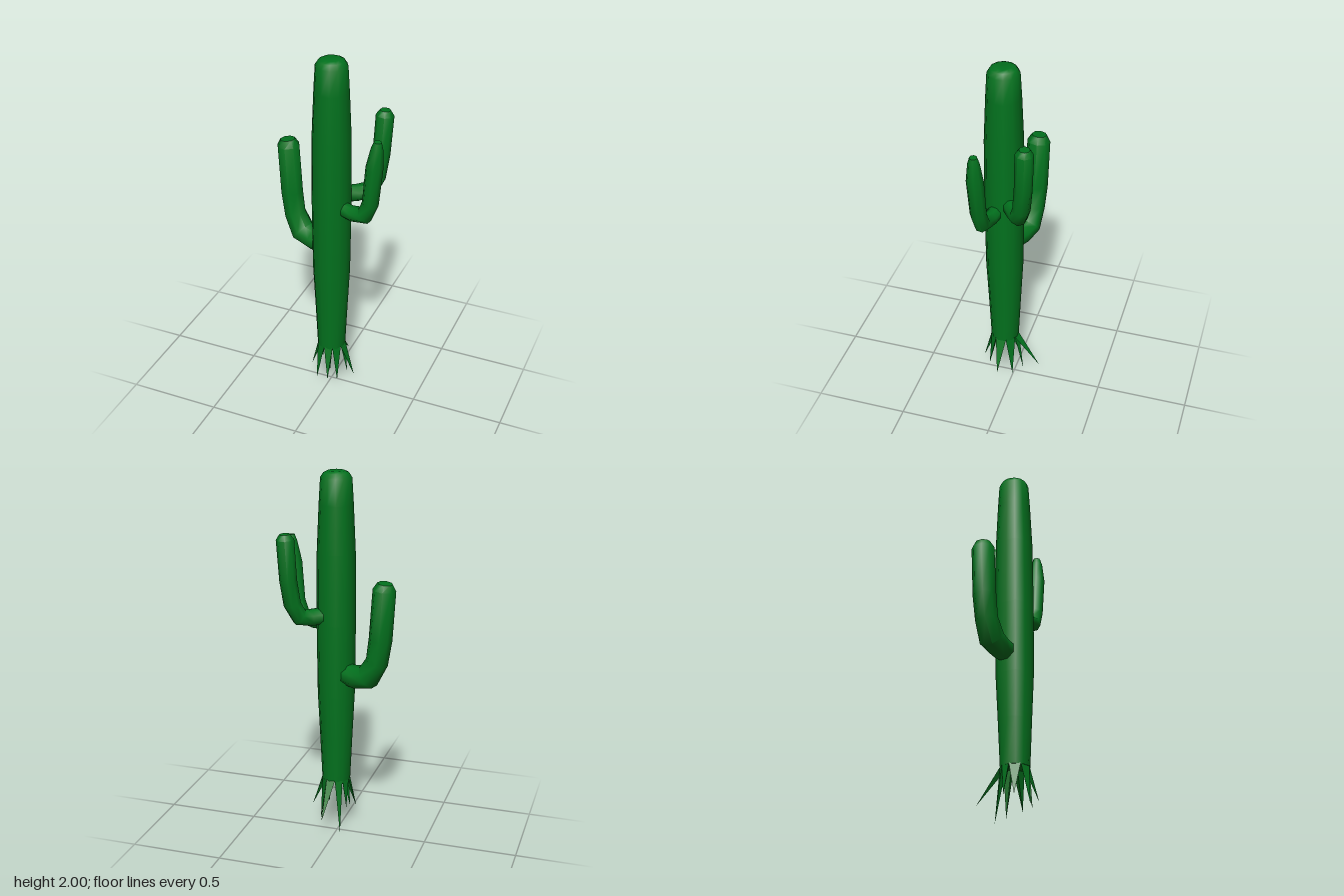
import * as THREE from 'three';
import { toCreasedNormals } from 'three/addons/utils/BufferGeometryUtils.js';

const material = new THREE.MeshStandardMaterial({ color: 0x02721e });
const CX = 0.02, CZ = 0.048; // trunk axis

// Skin a list of rings (arrays of Vector3, counter-clockwise about the travel direction), closing both ends
function loft(rings) {
  const n = rings[0].length, pos = [], index = [];
  rings.forEach(r => r.forEach(p => pos.push(p.x, p.y, p.z)));
  for (let i = 0; i < rings.length - 1; i++) {
    for (let j = 0; j < n; j++) {
      const a = i * n + j, b = i * n + (j + 1) % n;
      index.push(a, b, b + n, a, b + n, a + n);
    }
  }
  const last = (rings.length - 1) * n;
  for (let j = 1; j < n - 1; j++) {
    index.push(0, j + 1, j, last, last + j, last + j + 1);
  }
  const geo = new THREE.BufferGeometry();
  geo.setAttribute('position', new THREE.Float32BufferAttribute(pos, 3));
  geo.setIndex(index);
  return toCreasedNormals(geo, 0.9);
}

function add(group, name, geometry) {
  const mesh = new THREE.Mesh(geometry, material);
  mesh.name = name;
  group.add(mesh);
}

// Twelve-sided trunk, with shallow grooves between broad ribs
function trunkGeometry() {
  const profile = [ // height, radius, groove depth
    [0.3, 0.077, 1], [0.55, 0.088, 0.98], [0.8, 0.1, 0.93], [1.2, 0.104, 0.91],
    [1.58, 0.101, 0.91], [1.83, 0.09, 0.94], [1.965, 0.082, 1], [1.99, 0.066, 1], [2, 0.045, 1],
  ];
  return loft(profile.map(([y, r, groove]) => Array.from({ length: 12 }, (_, j) => {
    const a = -(j + 0.5) / 12 * Math.PI * 2;
    const k = j % 3 === 2 ? groove : 1;
    return new THREE.Vector3(CX + Math.cos(a) * r * k, y, CZ + Math.sin(a) * r * k);
  })));
}

// Arm: points are [x, y, z, radius]; it bends within one vertical plane
function armGeometry(points, sides = 8) {
  const v = points.map(p => new THREE.Vector3(p[0], p[1], p[2]));
  const side = v[v.length - 1].clone().sub(v[0]).setY(0).normalize().cross(new THREE.Vector3(0, 1, 0));
  return loft(v.map((c, i) => {
    const t = v[Math.min(i + 1, v.length - 1)].clone().sub(v[Math.max(i - 1, 0)]).normalize();
    const up = t.clone().cross(side).normalize();
    return Array.from({ length: sides }, (_, j) => {
      const a = (j + 0.5) / sides * Math.PI * 2, r = points[i][3];
      return c.clone().addScaledVector(side, Math.cos(a) * r).addScaledVector(up, Math.sin(a) * r);
    });
  }));
}

// Root: a three-sided spike hanging from the trunk's lower rim, between two angles
function rootGeometry(tip, from, to) {
  const rim = (angle, r, h) => new THREE.Vector3(CX + Math.cos(angle) * r, h, CZ + Math.sin(angle) * r);
  const corners = [
    rim(from, 0.077, 0.305), rim(to, 0.077, 0.305), rim((from + to) / 2, 0.045, 0.301),
    new THREE.Vector3(...tip),
  ];
  const faces = [[0, 2, 1], [0, 1, 3], [1, 2, 3], [2, 0, 3]];
  const geo = new THREE.BufferGeometry().setFromPoints(faces.flatMap(f => f.map(i => corners[i])));
  geo.computeVertexNormals();
  return geo;
}

export function createModel() {
  const cactus = new THREE.Group();
  cactus.name = 'cactus';
  add(cactus, 'trunk', trunkGeometry());

  add(cactus, 'rightArm', armGeometry([
    [-0.02, 0.925, 0.024, 0.055], [-0.1, 0.92, -0.001, 0.063], [-0.178, 0.937, -0.026, 0.068],
    [-0.23, 1.03, -0.042, 0.06], [-0.25, 1.16, -0.049, 0.062],
    [-0.268, 1.425, -0.054, 0.061], [-0.272, 1.46, -0.055, 0.04],
  ]));
  add(cactus, 'backLeftArm', armGeometry([
    [0.05, 1.243, 0.025, 0.043], [0.13, 1.238, -0.037, 0.045], [0.18, 1.248, -0.076, 0.048],
    [0.212, 1.32, -0.1, 0.046], [0.228, 1.45, -0.113, 0.046],
    [0.239, 1.665, -0.121, 0.047], [0.24, 1.693, -0.122, 0.028],
  ]));
  add(cactus, 'frontLeftArm', armGeometry([
    [0.06, 1.193, 0.063, 0.039], [0.15, 1.183, 0.085, 0.042], [0.226, 1.2, 0.103, 0.046],
    [0.258, 1.28, 0.111, 0.043], [0.278, 1.49, 0.118, 0.045],
    [0.29, 1.6, 0.118, 0.031], [0.293, 1.637, 0.118, 0.02],
  ]));

  // Roots in order around the rim, each sharing its base corners with its neighbours
  const tips = [
    [0.16, 0.11, 0.055], [0.085, 0.1, 0.122], [0.045, 0.12, 0.165], [-0.032, 0.09, 0.137],
    [-0.09, 0.13, 0.067], [-0.052, 0.14, 0.003], [-0.03, 0, -0.045], [0.04, 0.12, -0.16],
    [0.09, 0.06, -0.015],
  ];
  const angleOf = i => {
    const [x, , z] = tips[(i + tips.length) % tips.length];
    const a = Math.atan2(z - CZ, x - CX);
    const turn = Math.PI * 2;
    return (a + turn) % turn + turn * Math.floor(i / tips.length);
  };
  tips.forEach((tip, i) => {
    const from = (angleOf(i - 1) + angleOf(i)) / 2, to = (angleOf(i) + angleOf(i + 1)) / 2;
    add(cactus, `root${i + 1}`, rootGeometry(tip, from, to));
  });
  return cactus;
}
